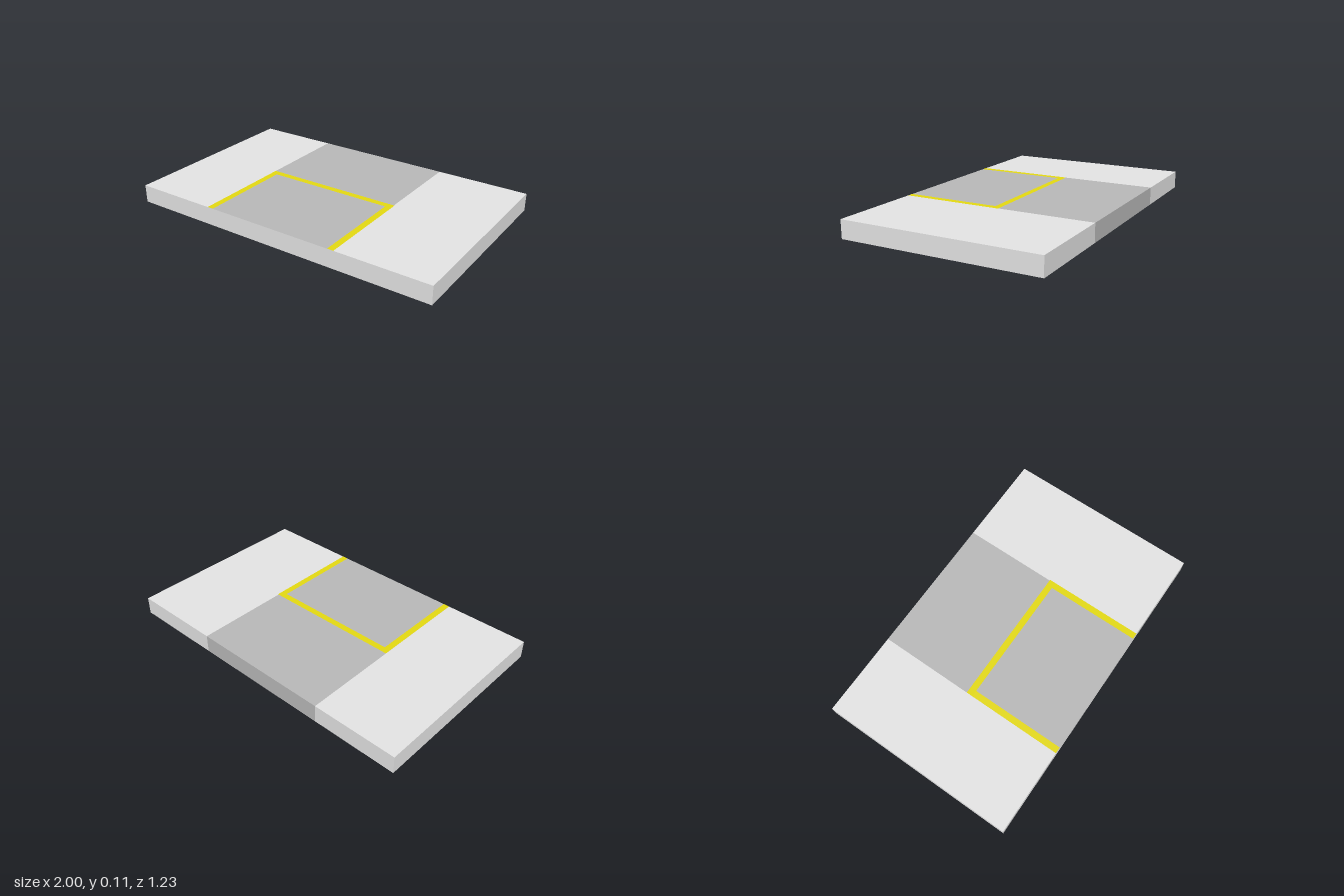
import * as THREE from 'three';

const W = 2, H = 0.112, D = 1.226;
const X0 = -0.47, X1 = 0.415; // edges of the dark lane

function material(name, color) {
  const m = new THREE.MeshStandardMaterial({ color });
  m.name = name;
  return m;
}

export function createModel() {
  const light = material('lightConcrete', 0xe3e3e3);
  const dark = material('darkAsphalt', 0xb8b8b8);
  const yellow = material('yellowPaint', 0xe3d912);
  const model = new THREE.Group();
  model.name = 'pavementTile';

  // Slab section between two x limits, over the full depth
  function slab(name, mats, xa, xb) {
    const mesh = new THREE.Mesh(new THREE.BoxGeometry(xb - xa, H, D), mats);
    mesh.position.set((xa + xb) / 2, H / 2, 0);
    mesh.name = name;
    model.add(mesh);
  }

  // Flat painted line lying on the slab
  function line(name, xa, xb, za, zb) {
    const geo = new THREE.PlaneGeometry(xb - xa, zb - za).rotateX(-Math.PI / 2);
    const mesh = new THREE.Mesh(geo, yellow);
    mesh.position.set((xa + xb) / 2, H + 0.0006, (za + zb) / 2);
    mesh.name = name;
    model.add(mesh);
  }

  // Face order is +x, -x, top, bottom, front, back
  slab('rightPavement', light, -W / 2, X0);
  slab('lane', [dark, dark, dark, light, light, dark], X0, X1);
  slab('leftPavement', light, X1, W / 2);

  // Bay lines: one across the middle, two running to the front edge
  const t = 0.04, end = X1 + 0.005;
  line('crossLine', X0, end, -t / 2, t / 2);
  line('rightLine', X0, X0 + t, t / 2, D / 2);
  line('leftLine', end - t, end, t / 2, D / 2);

  return model;
}
